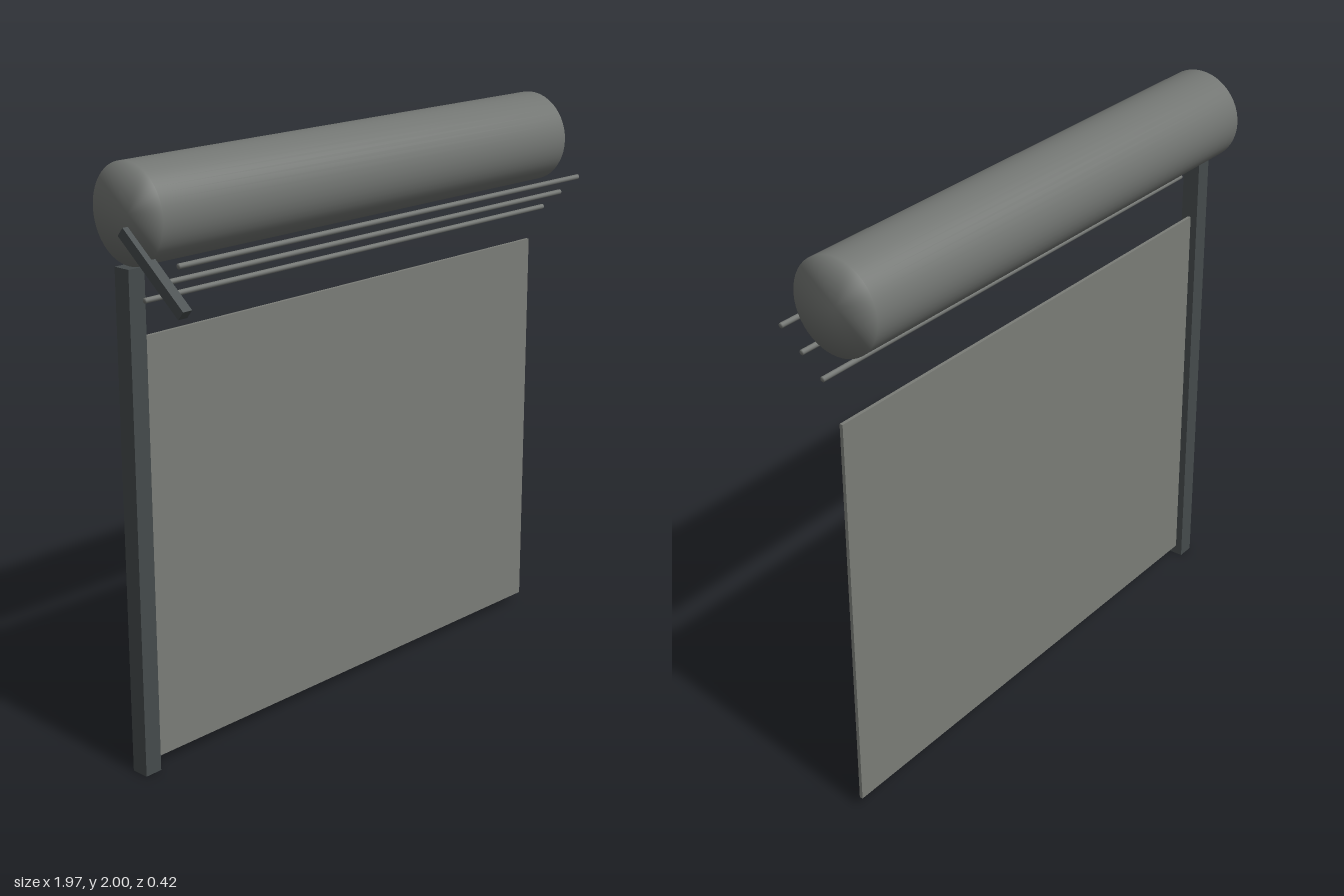
import * as THREE from 'three';
import { mergeVertices } from 'three/addons/utils/BufferGeometryUtils.js';

const panelGrey = new THREE.MeshStandardMaterial({ color: 0x7a7c77 });
const tubeGrey = new THREE.MeshStandardMaterial({ color: 0x727572 });
const darkFrame = new THREE.MeshStandardMaterial({ color: 0x454b4c });

export function createModel() {
  const group = new THREE.Group();

  const add = (name, geometry, material, x, y, z) => {
    const mesh = new THREE.Mesh(geometry, material);
    mesh.name = name;
    mesh.position.set(x, y, z);
    group.add(mesh);
    return mesh;
  };

  // Bar lying along x, with normals blended over its flat ends
  const bar = (radius, x0, x1, sides) => {
    const g = new THREE.CylinderGeometry(radius, radius, x1 - x0, sides);
    g.deleteAttribute('uv');
    g.deleteAttribute('normal');
    const smooth = mergeVertices(g);
    smooth.rotateZ(Math.PI / 2);
    smooth.translate((x0 + x1) / 2, 0, 0);
    smooth.computeVertexNormals();
    return smooth;
  };

  // Upright post and the sheet hung beside it
  add('post', new THREE.BoxGeometry(0.063, 1.68, 0.063), darkFrame, -0.954, 0.84, -0.049);
  add('panel', new THREE.BoxGeometry(1.905, 1.42, 0.012), panelGrey, 0.0275, 1.745 - 1, -0.049);

  // Large top roll
  add('topRoll', bar(0.16, -0.953, 0.98, 48), tubeGrey, 0, 1.84, -0.05);

  // Sloping arm on the post
  const arm = add('arm', new THREE.BoxGeometry(0.036, 0.036, 0.336), darkFrame, -0.956, 1.68, 0.067);
  arm.rotation.x = THREE.MathUtils.degToRad(39.5);

  // Three thin lines, evenly spaced across the arm
  for (let i = 0; i < 3; i++) {
    add('line' + (i + 1), bar(0.009, -0.953, 0.98, 12), tubeGrey,
      0, 1.585 + 0.065 * i, 0.015 + 0.0775 * i);
  }

  return group;
}
